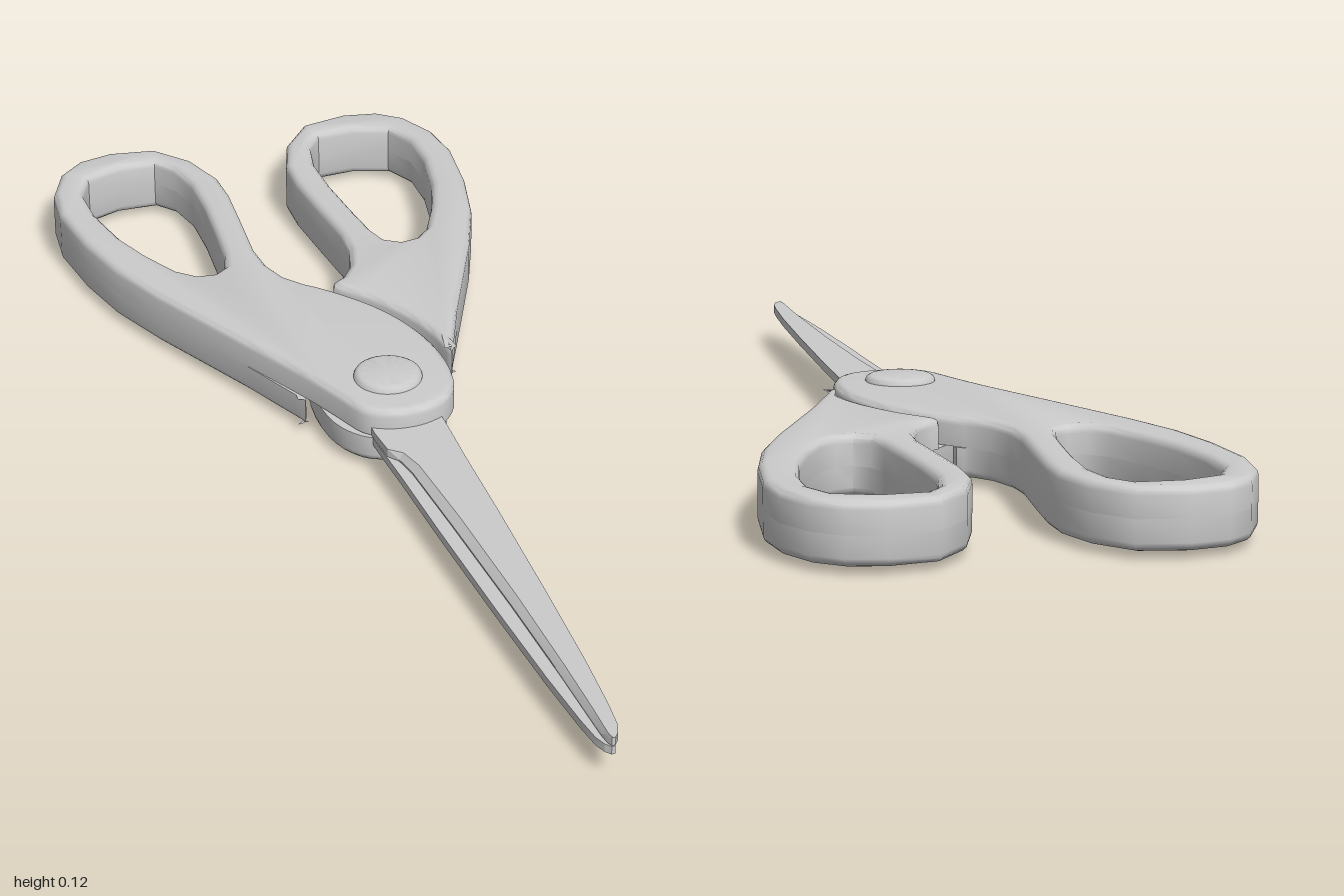
import * as THREE from 'three';
import { toCreasedNormals } from 'three/addons/utils/BufferGeometryUtils.js';

const MID = 0.0625;      // height of the plane where the two halves meet
const HALF = 0.051;      // half the grip thickness
const BEVEL = 0.014;
const material = new THREE.MeshStandardMaterial({ color: 0xcccccc });

const vec = (list) => list.map(([x, z]) => new THREE.Vector2(x, z));
const smooth = (list) => new THREE.SplineCurve(vec(list)).getPoints((list.length - 1) * 3);

function addMesh(parent, name, geometry) {
  const mesh = new THREE.Mesh(geometry, material);
  mesh.name = name;
  parent.add(mesh);
  return mesh;
}

// Finger loop outline (x, z), from the outer side of the neck round to the crotch
const grip = [
  [-0.2, -0.25], [-0.25, -0.355], [-0.3, -0.46], [-0.345, -0.57], [-0.372, -0.68], [-0.387, -0.8],
  [-0.378, -0.88], [-0.345, -0.95], [-0.3, -0.987], [-0.235, -1], [-0.15, -0.985],
  [-0.095, -0.92], [-0.068, -0.84], [-0.066, -0.77], [-0.075, -0.66], [-0.084, -0.56],
  [-0.08, -0.5], [-0.062, -0.445], [-0.035, -0.41],
];
const fingerHole = [
  [-0.235, -0.938], [-0.165, -0.935], [-0.137, -0.9], [-0.122, -0.83], [-0.124, -0.74],
  [-0.133, -0.64], [-0.142, -0.56], [-0.155, -0.515], [-0.18, -0.498], [-0.21, -0.502], [-0.24, -0.53],
  [-0.275, -0.6], [-0.305, -0.68], [-0.325, -0.78], [-0.326, -0.86], [-0.3, -0.915],
];
// Upper layer: lobe that wraps the pivot
const lobe = [
  [-0.035, -0.41], [0, -0.375], [0.06, -0.295], [0.1, -0.205], [0.117, -0.11], [0.11, -0.02],
  [0.08, 0.035], [0.04, 0.057], [0, 0.062], [-0.04, 0.054], [-0.075, 0.03], [-0.1, -0.03],
  [-0.135, -0.115], [-0.2, -0.25],
];
// Lower layer: step that clears the other half's lobe
const step = [
  [-0.035, -0.41], [-0.012, -0.388], [-0.06, -0.325], [-0.103, -0.245], [-0.126, -0.17],
  [-0.134, -0.105], [-0.146, -0.125], [-0.2, -0.25],
];

// Rounded slab from an outline, flattened at the meeting plane by the clamp rule
function slab(edge, clampY) {
  const shape = new THREE.Shape([...vec(grip), ...smooth(edge).slice(1, -1)]);
  shape.holes.push(new THREE.Path(vec(fingerHole)));
  const geometry = new THREE.ExtrudeGeometry(shape, {
    depth: 2 * (HALF - BEVEL), bevelThickness: BEVEL, bevelSize: BEVEL,
    bevelOffset: -BEVEL, bevelSegments: 3, curveSegments: 1,
  });
  geometry.rotateX(Math.PI / 2).translate(0, HALF - BEVEL, 0);
  const p = geometry.attributes.position;
  for (let i = 0; i < p.count; i++) p.setY(i, clampY(p.getY(i)));
  geometry.deleteAttribute('normal');
  geometry.deleteAttribute('uv');
  return toCreasedNormals(geometry, 0.75);
}

// Blade lofted from five-point sections: [z, spine x, cutting edge x, ground width]
function bladeGeometry() {
  const sections = [
    [-0.12, 0.06, -0.06, 0.002], [0.06, 0.063, -0.064, 0.002], [0.115, 0.061, -0.06, 0.002],
    [0.135, 0.06, -0.046, 0.008], [0.18, 0.058, -0.038, 0.012], [0.35, 0.053, -0.029, 0.014],
    [0.6, 0.043, -0.018, 0.012], [0.8, 0.033, -0.012, 0.009], [0.92, 0.024, -0.01, 0.007],
    [0.97, 0.018, -0.009, 0.005], [0.99, 0.011, -0.007, 0.003], [1, 0.003, -0.003, 0.002],
  ];
  const y0 = 0.0008, y1 = 0.016;
  const positions = [], index = [];
  for (const [z, s, e, g] of sections) {
    const ground = g > 0.002 ? y0 + 0.003 : y1;
    positions.push(s, y0, z, s, y1, z, e + g, y1, z, e, ground, z, e, y0, z);
  }
  const last = (sections.length - 1) * 5;
  for (let i = 0; i < last; i += 5) {
    for (let k = 0; k < 5; k++) {
      const a = i + k, b = i + (k + 1) % 5;
      index.push(a, b, a + 5, b, b + 5, a + 5);
    }
  }
  for (let k = 1; k < 4; k++) {
    index.push(0, k + 1, k);
    index.push(last, last + k, last + k + 1);
  }
  const geometry = new THREE.BufferGeometry();
  geometry.setAttribute('position', new THREE.Float32BufferAttribute(positions, 3));
  geometry.setIndex(index);
  return toCreasedNormals(geometry, 0.3);
}

// Domed pivot cap
function capGeometry() {
  const profile = vec([[0.06, 0.03], [0.06, 0.054], [0.058, 0.058], [0.052, 0.0615], [0.045, 0.0625], [0, 0.0625]]);
  return toCreasedNormals(new THREE.LatheGeometry(profile, 32), 0.7);
}

function half(name) {
  const group = new THREE.Group();
  group.name = name;
  addMesh(group, 'handleUpperLayer', slab(lobe, (y) => Math.max(y, 0.001)));
  addMesh(group, 'handleLowerLayer', slab(step, (y) => Math.min(y, 0.001)));
  addMesh(group, 'blade', bladeGeometry());
  addMesh(group, 'pivotCap', capGeometry()).position.z = -0.055;
  return group;
}

export function createModel() {
  const scissors = new THREE.Group();
  scissors.name = 'scissors';
  const upper = half('upperHalf');
  const lower = half('lowerHalf');
  lower.rotation.z = Math.PI; // the second half is the first turned over
  for (const part of [upper, lower]) {
    part.position.y = MID;
    scissors.add(part);
  }
  return scissors;
}
